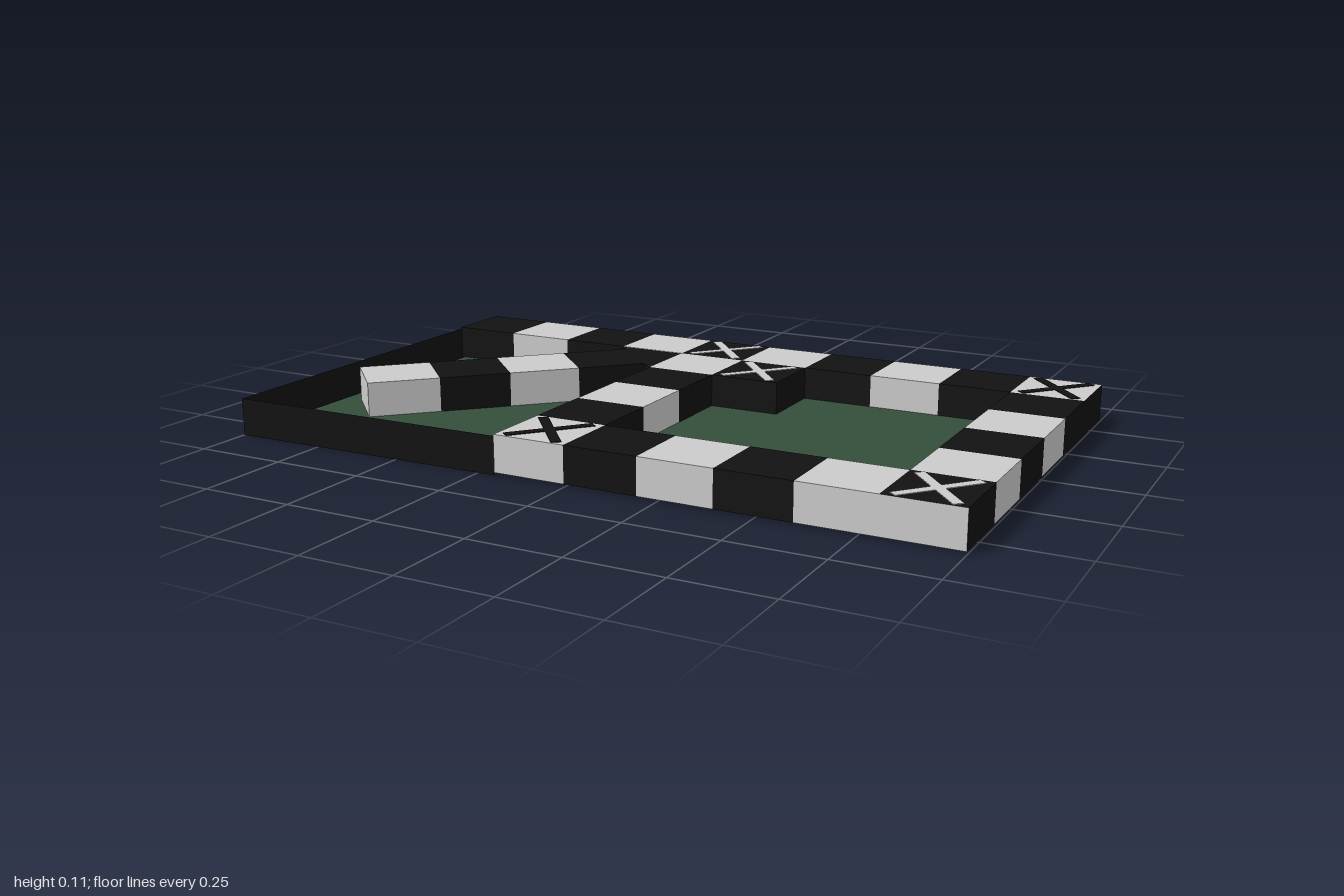
import * as THREE from 'three';

const W = 0.2, D = 0.1985, Y0 = 0.008, Y1 = 0.106, Z0 = -0.6;
const H = Y1 - Y0;

export function createModel() {
  const model = new THREE.Group();
  model.name = 'boardTray';
  const std = (color, side = THREE.FrontSide) => new THREE.MeshStandardMaterial({ color, side });
  const light = std(0xcccccc), dark = std(0x121212);
  const darkThin = std(0x121212, THREE.DoubleSide), green = std(0x344e3b, THREE.DoubleSide);
  const tone = { w: light, b: dark };

  const add = (name, geometry, material, x, y, z, parent = model) => {
    const m = new THREE.Mesh(geometry, material);
    m.name = name;
    m.position.set(x, y, z);
    parent.add(m);
    return m;
  };

  // Grid blocks: column 0 starts at x = -1, row 0 at the back
  const cx = (c) => -1 + W * (c + 0.5), cz = (r) => Z0 + D * (r + 0.5);
  const blockGeo = new THREE.BoxGeometry(W, H, D);
  const block = (name, c, r, material) => add(name, blockGeo, material, cx(c), (Y0 + Y1) / 2, cz(r));

  [...'bwbwbwbwb'].forEach((t, i) => block('backRailBlock', i, 0, tone[t]));
  [...'bwbw'].forEach((t, i) => block('sideRailBlock', 9, i + 1, tone[t]));
  [...'wbwbw'].forEach((t, i) => block('dividerBlock', 4, i + 1, tone[t]));
  [...'bwbw'].forEach((t, i) => block('frontRailBlock', i + 5, 5, tone[t]));
  block('innerBlock', 5, 1, dark);
  // Corner blocks change tone from face to face: +x, -x, +y, -y, +z, -z
  block('backCornerBlock', 9, 0, [dark, light, light, light, light, light]);
  block('frontCornerBlock', 9, 5, [dark, dark, dark, dark, light, dark]);

  // Crossed strips on the marked blocks
  const strip = new THREE.BoxGeometry(0.23, 0.002, 0.026);
  const cross = (c, r, material) => {
    const g = new THREE.Group();
    g.name = 'crossMark';
    g.position.set(cx(c), Y1 + 0.0008, cz(r));
    for (const s of [-1, 1]) add('crossStrip', strip, material, 0, 0, 0, g).rotation.y = s * 0.87;
    model.add(g);
  };
  cross(4, 0, light);
  cross(5, 1, light);
  cross(9, 0, dark);
  cross(4, 5, dark);
  cross(9, 5, light);

  // Diagonal arm of four blocks
  [...'wbwb'].forEach((t, i) => {
    const s = i * 0.1412;
    add('diagonalArmBlock', new THREE.BoxGeometry(W, H, W), tone[t],
      -0.797 + s, (Y0 + Y1) / 2, 0.185 - s).rotation.y = Math.PI / 4;
  });

  // Triangular wedge joining the arm to the rails
  const wedge = new THREE.Shape([[-0.4, 0.4], [-0.2, 0.2], [-0.2, 0.4]].map(([x, y]) => new THREE.Vector2(x, y)));
  add('armWedge', new THREE.ExtrudeGeometry(wedge, { depth: H - 0.001, bevelEnabled: false }), dark, 0, Y0, 0)
    .rotation.x = -Math.PI / 2;

  // Floors of the two bays
  const floor = (name, x0, x1, z0, z1, y) => {
    add(name, new THREE.PlaneGeometry(x1 - x0, z1 - z0), green, (x0 + x1) / 2, y, (z0 + z1) / 2)
      .rotation.x = -Math.PI / 2;
  };
  floor('rightBayFloor', -0.99, -0.2, -0.402, 0.587, 0.0095);
  floor('leftBayFloor', 0, 0.8, -0.402, 0.392, 0.016);

  // Thin outer walls, the front one slightly skewed
  const wall = (name, ax, az, bx, bz) => {
    const len = Math.hypot(bx - ax, bz - az);
    add(name, new THREE.PlaneGeometry(len, 0.101), darkThin, (ax + bx) / 2, 0.0505, (az + bz) / 2)
      .rotation.y = -Math.atan2(bz - az, bx - ax);
  };
  wall('sideWall', -0.9995, -0.6, -0.9995, 0.6);
  wall('frontWall', -1, 0.6, -0.2, 0.588);

  return model;
}
